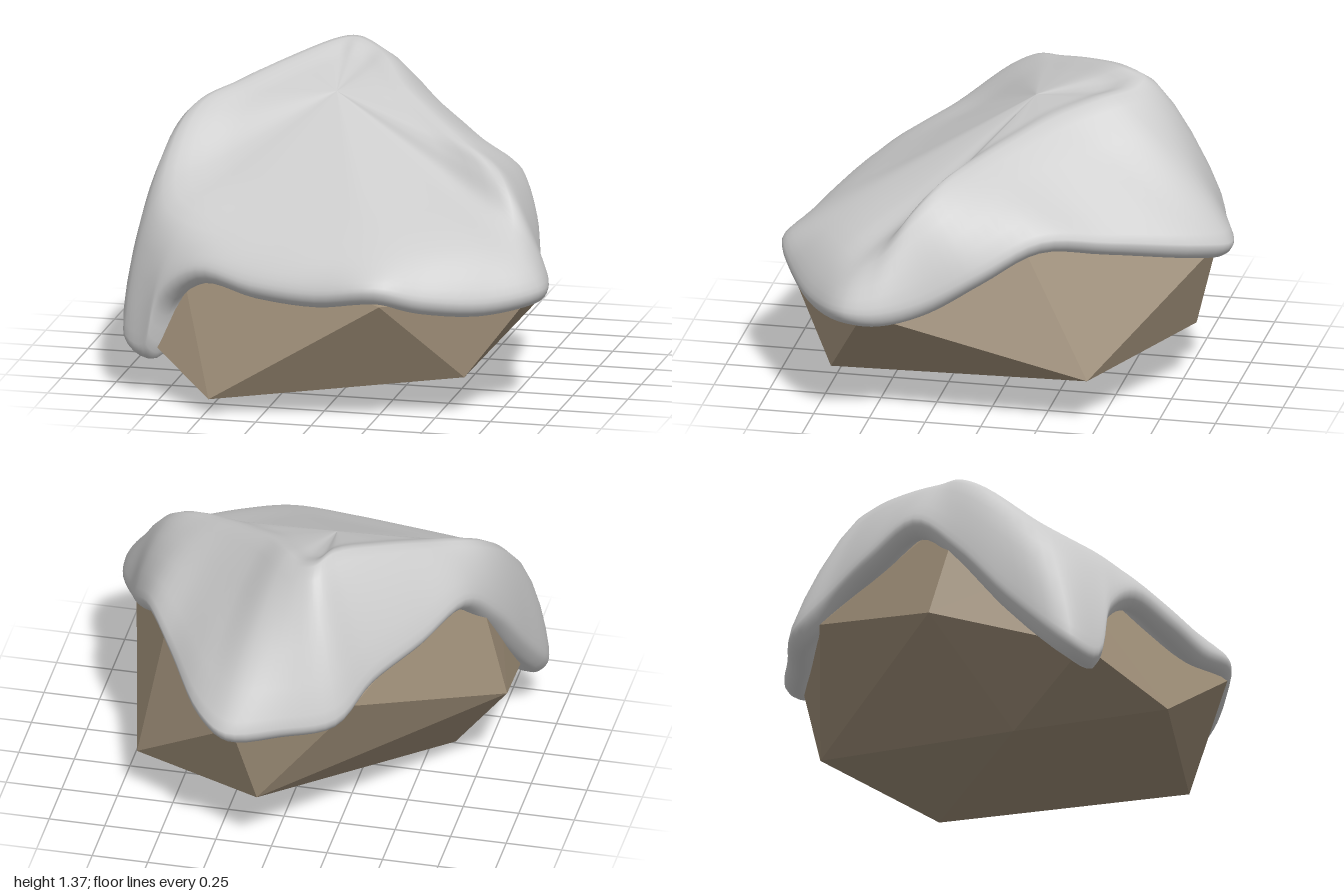
import * as THREE from 'three';
import { ConvexGeometry } from 'three/addons/geometries/ConvexGeometry.js';

const vec = (p) => new THREE.Vector3(...p);

// Faceted boulder: convex hull of its corners
function buildRock() {
  const corners = [
    [-0.6, 0, 0.26], [-0.48, 0.07, 0.93], [0.62, 0.18, 0.7], [0.67, 0.22, -0.46],
    [0.05, 0.29, -0.82], [0.3, 0.55, 0.97], [0.14, 0.7, -0.93], [-0.9, 0.48, -0.04],
    [-0.83, 0.26, 0.65], [0.89, 0.54, 0.5], [0.57, 0.9, -0.1], [-0.72, 1.06, 0.06],
    [-0.18, 1.22, -0.42], [-0.36, 0.75, -0.7], [-0.74, 0.72, 0.5],
  ].map(vec);
  const material = new THREE.MeshStandardMaterial({ color: 0x9c8c76, flatShading: true });
  const rock = new THREE.Mesh(new ConvexGeometry(corners), material);
  rock.name = 'rock';
  return rock;
}

// Lower rim of the cap, counterclockwise from the front; y is the lip's underside
const rim = [
  [0, 0.51, 0.95], [0.28, 0.55, 0.99], [0.48, 0.5, 0.91], [0.73, 0.47, 0.77],
  [0.93, 0.49, 0.6], [0.94, 0.49, 0.45], [0.86, 0.53, 0.25], [0.78, 0.66, 0],
  [0.66, 0.78, -0.25], [0.5, 0.74, -0.53], [0.29, 0.68, -0.9], [0.15, 0.65, -1],
  [-0.08, 0.66, -0.93], [-0.31, 0.69, -0.84], [-0.43, 0.8, -0.63], [-0.6, 0.88, -0.4],
  [-0.74, 0.95, -0.16], [-0.84, 0.77, 0.06], [-0.91, 0.48, 0.32], [-0.94, 0.2, 0.62],
  [-0.83, 0.17, 0.72], [-0.75, 0.42, 0.75], [-0.57, 0.55, 0.81], [-0.3, 0.52, 0.9],
].map(vec);

// Shoulder where the sides turn into the upper slopes
const shoulder = [
  [0, 0.72, 0.86], [0.27, 0.73, 0.87], [0.46, 0.74, 0.78], [0.66, 0.74, 0.66],
  [0.8, 0.74, 0.54], [0.8, 0.8, 0.44], [0.74, 0.93, 0.33], [0.66, 1.015, 0.24],
  [0.5, 1.09, 0.11], [0.32, 1.165, -0.05], [0.15, 1.24, -0.22], [0.03, 1.3, -0.42],
  [-0.07, 1.32, -0.54], [-0.15, 1.345, -0.56], [-0.22, 1.365, -0.46], [-0.42, 1.31, -0.26],
  [-0.6, 1.24, -0.08], [-0.74, 1.18, 0.06], [-0.8, 1.09, 0.2], [-0.82, 0.88, 0.45],
  [-0.77, 0.8, 0.58], [-0.66, 0.77, 0.67], [-0.5, 0.75, 0.74], [-0.25, 0.73, 0.81],
].map(vec);

// Middle of the broad sloping top
const crown = new THREE.Vector3(-0.14, 1.23, -0.06);

// Smooth snow cap: rounded lip lofted up over the shoulder to the crown
function buildSnow() {
  const cols = 120, rows = 36;
  const inward = (p, pull, rise) => {
    const k = 1 - pull / Math.hypot(p.x, p.z);
    return new THREE.Vector3(p.x * k, p.y + rise, p.z * k);
  };
  const loops = [
    rim.map((p) => inward(p, 0.2, 0.1)),
    rim.map((p) => inward(p, 0.07, 0)),
    rim.map((p) => inward(p, 0.015, 0.025)),
    rim.map((p) => inward(p, 0, 0.08)),
    shoulder,
    shoulder.map((p) => p.clone().lerp(crown, 0.4)),
    shoulder.map((p) => p.clone().lerp(crown, 0.8)),
  ].map((pts) => new THREE.CatmullRomCurve3(pts, true));

  const positions = [], index = [];
  for (let c = 0; c < cols; c++) {
    const section = new THREE.CatmullRomCurve3(
      [...loops.map((loop) => loop.getPoint(c / cols)), crown]);
    for (let r = 0; r <= rows; r++) {
      positions.push(...section.getPoint(r / rows).toArray());
      if (r === rows) continue;
      const a = c * (rows + 1) + r, b = ((c + 1) % cols) * (rows + 1) + r;
      index.push(a, b, b + 1, a, b + 1, a + 1);
    }
  }
  const geometry = new THREE.BufferGeometry();
  geometry.setAttribute('position', new THREE.Float32BufferAttribute(positions, 3));
  geometry.setIndex(index);
  geometry.computeVertexNormals();
  const snow = new THREE.Mesh(geometry, new THREE.MeshStandardMaterial({
    color: 0xcccccc, side: THREE.DoubleSide,
  }));
  snow.name = 'snowCap';
  return snow;
}

export function createModel() {
  const group = new THREE.Group();
  group.name = 'snowyRock';
  group.add(buildRock(), buildSnow());
  return group;
}
